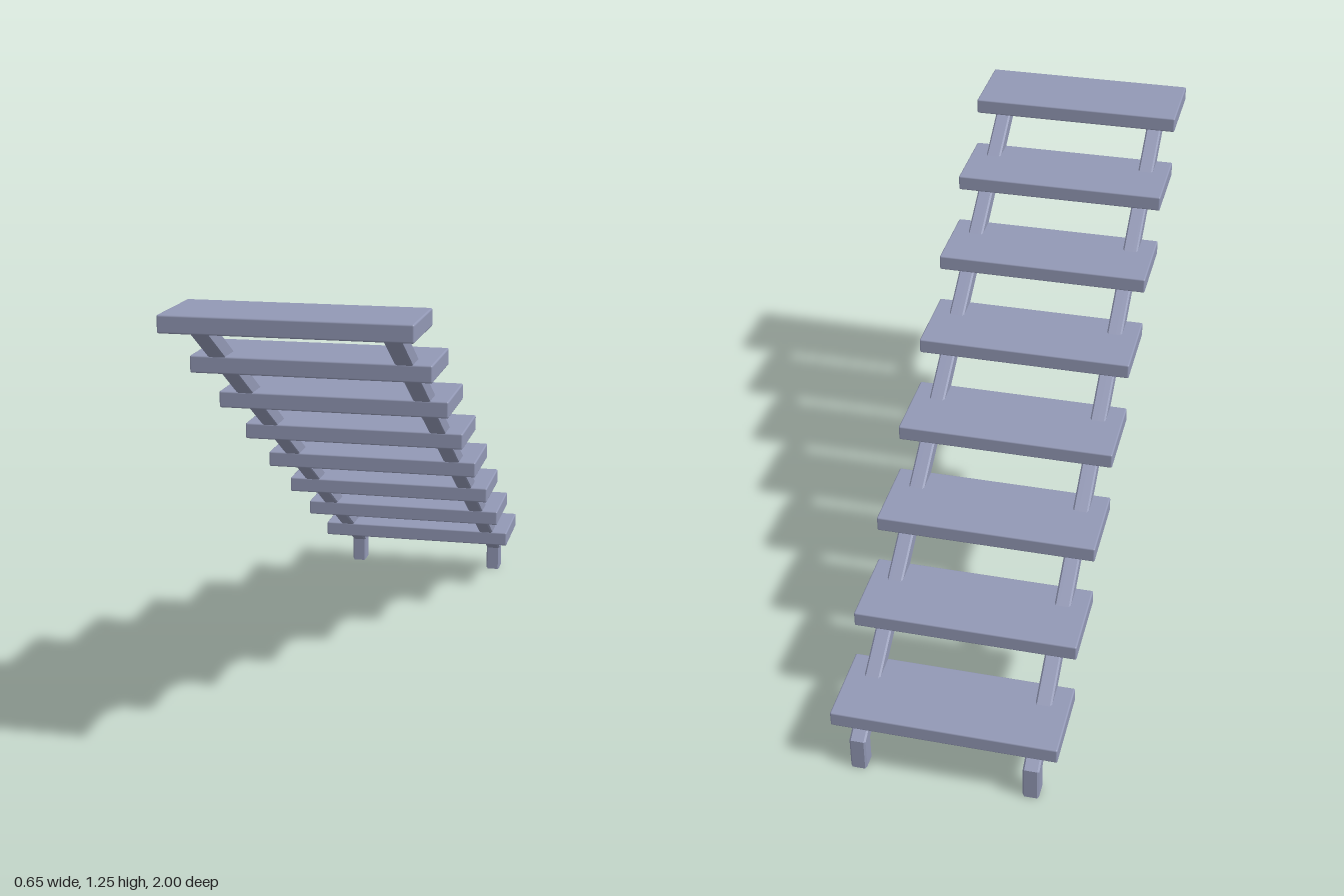
import * as THREE from 'three';
import { RoundedBoxGeometry } from 'three/addons/geometries/RoundedBoxGeometry.js';

const STEPS = 8, RUN = 0.25, RISE = 0.15;
const BEVEL = 0.005;

// Side profile (z, y) of a stringer: a short upright foot, then a sloping rail
function stringerGeometry(width) {
  const slope = RISE / RUN;
  const lower = z => 0.08 + slope * (z + 0.95);
  const upper = z => 0.104 + slope * (z + 1);
  const shape = new THREE.Shape([
    [-1, 0], [-0.95, 0], [-0.95, lower(-0.95)], [0.935, lower(0.935)],
    [0.85, upper(0.85)], [-1, upper(-1)],
  ].map(([z, y]) => new THREE.Vector2(z, y)));
  const depth = width - 2 * BEVEL;
  const geometry = new THREE.ExtrudeGeometry(shape, {
    depth, bevelEnabled: true, bevelSegments: 1,
    bevelThickness: BEVEL, bevelSize: BEVEL, bevelOffset: -BEVEL,
  });
  geometry.translate(0, 0, -depth / 2);
  geometry.rotateY(-Math.PI / 2);
  return geometry;
}

export function createModel() {
  const model = new THREE.Group();
  model.name = 'openStaircase';
  const paint = new THREE.MeshStandardMaterial({ color: 0x9298b5 });
  paint.name = 'blueGrey';

  // Treads, lowest at the back and highest at the front
  const treadGeometry = new RoundedBoxGeometry(0.646, 0.047, 0.246, 2, BEVEL);
  for (let i = 0; i < STEPS; i++) {
    const tread = new THREE.Mesh(treadGeometry, paint);
    tread.name = `tread${i + 1}`;
    tread.position.set(0, 0.1765 + i * RISE, -0.877 + i * RUN);
    model.add(tread);
  }

  // Pair of stringers carrying the treads
  const railGeometry = stringerGeometry(0.047);
  for (const [name, x] of [['leftStringer', 0.249], ['rightStringer', -0.249]]) {
    const stringer = new THREE.Mesh(railGeometry, paint);
    stringer.name = name;
    stringer.position.x = x;
    model.add(stringer);
  }
  return model;
}
